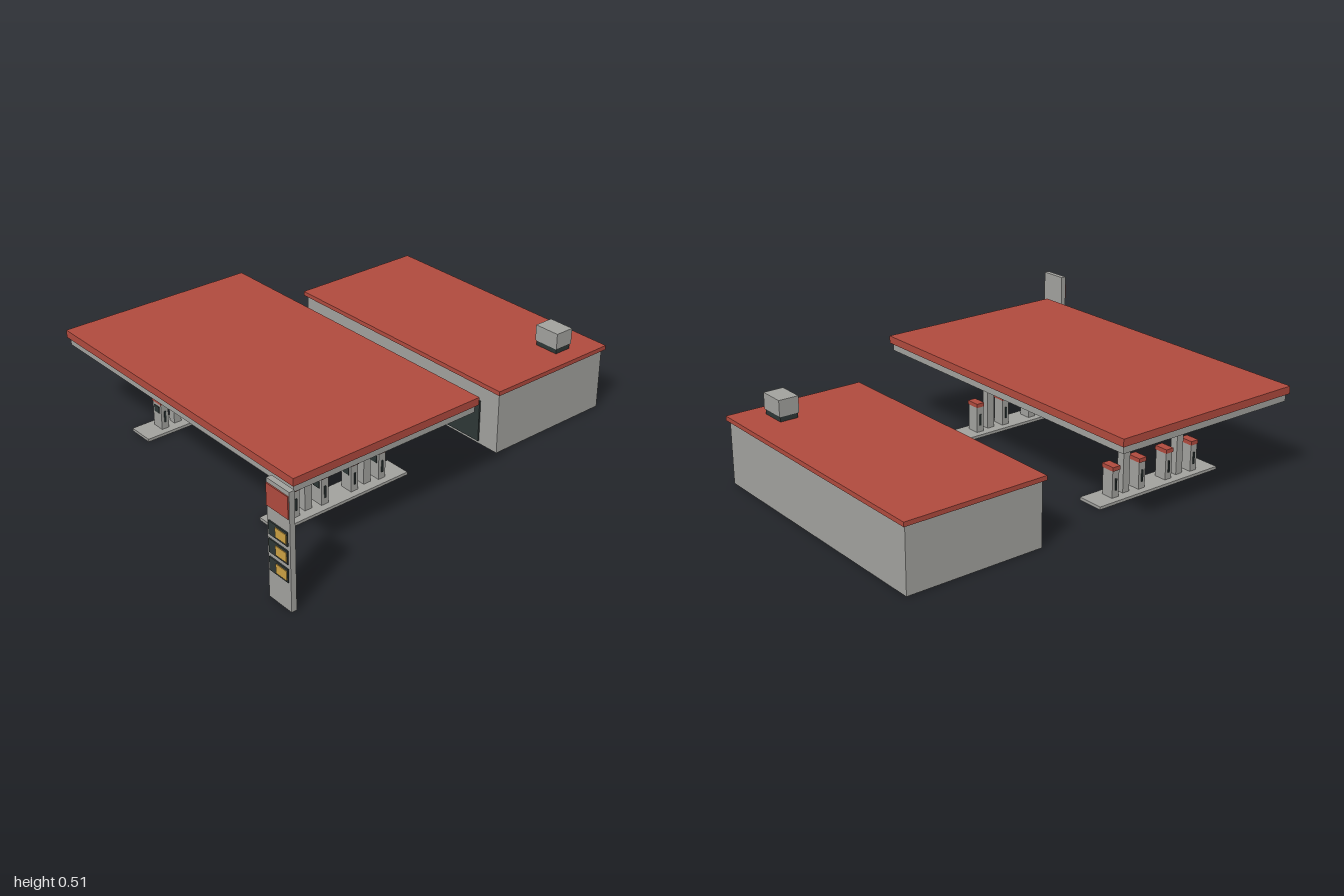
import * as THREE from 'three';

const mat = (name, color) => {
  const m = new THREE.MeshStandardMaterial({ color });
  m.name = name;
  return m;
};

export function createModel() {
  const grey = mat('concrete grey', 0xa2a29e);
  const red = mat('roof red', 0xb04a3e);
  const dark = mat('dark glass', 0x2e3736);
  const amber = mat('price amber', 0xcda243);

  const station = new THREE.Group();
  station.name = 'fuelStation';

  const group = (name, x = 0, y = 0, z = 0) => {
    const g = new THREE.Group();
    g.name = name;
    g.position.set(x, y, z);
    station.add(g);
    return g;
  };
  // Box given by its extents on each axis
  const box = (parent, name, m, [x0, x1], [y0, y1], [z0, z1]) => {
    const mesh = new THREE.Mesh(new THREE.BoxGeometry(x1 - x0, y1 - y0, z1 - z0), m);
    mesh.position.set((x0 + x1) / 2, (y0 + y1) / 2, (z0 + z1) / 2);
    mesh.name = name;
    parent.add(mesh);
  };

  // Shop building with wide front window and roof slab
  const shop = group('shop');
  box(shop, 'shopWalls', grey, [-0.718, 0.55], [0, 0.285], [-0.988, -0.355]);
  box(shop, 'shopRoof', red, [-0.73, 0.563], [0.285, 0.305], [-1, -0.342]);
  box(shop, 'shopWindow', dark, [-0.61, 0.445], [0.014, 0.208], [-0.356, -0.348]);

  // Rooftop air unit
  box(shop, 'airUnitBase', dark, [0.362, 0.478], [0.305, 0.328], [-0.857, -0.773]);
  box(shop, 'airUnit', grey, [0.358, 0.482], [0.328, 0.402], [-0.862, -0.769]);

  // Canopy slab, fascia and ceiling lamps
  const canopy = group('canopy', -0.083, 0, 0.384);
  box(canopy, 'canopyTop', red, [-0.783, 0.783], [0.396, 0.43], [-0.466, 0.466]);
  box(canopy, 'canopySoffit', grey, [-0.771, 0.771], [0.362, 0.396], [-0.455, 0.455]);
  for (let i = -2; i <= 2; i++) {
    for (const z of [0.238, -0.204]) {
      const x = i * 0.295;
      box(canopy, 'ceilingLamp', grey, [x - 0.077, x + 0.077], [0.357, 0.362], [z - 0.029, z + 0.029]);
    }
  }

  // Pump islands, each with two columns and four pumps
  for (const x of [-0.539, 0.373]) {
    const island = group('pumpIsland', x, 0, 0.384);
    box(island, 'islandBase', grey, [-0.062, 0.062], [0, 0.013], [-0.335, 0.335]);
    for (const z of [-0.153, 0.153]) {
      box(island, 'canopyColumn', grey, [-0.018, 0.018], [0.013, 0.362], [z - 0.018, z + 0.018]);
    }
    for (const z of [-0.223, -0.076, 0.078, 0.225]) {
      box(island, 'pumpBody', grey, [-0.03, 0.03], [0.013, 0.134], [z - 0.018, z + 0.018]);
      box(island, 'pumpCap', red, [-0.034, 0.034], [0.134, 0.152], [z - 0.02, z + 0.02]);
      box(island, 'pumpScreen', dark, [-0.018, 0.018], [0.088, 0.12], [z + 0.017, z + 0.021]);
      for (const s of [-1, 1]) {
        box(island, 'pumpNozzle', dark, [s * 0.0315 - 0.003, s * 0.0315 + 0.003], [0.045, 0.098], [z - 0.004, z + 0.004]);
      }
    }
  }

  // Roadside price sign
  const sign = group('priceSign');
  box(sign, 'signPost', grey, [0.73, 0.86], [0, 0.508], [0.968, 0.992]);
  box(sign, 'signHeader', red, [0.733, 0.857], [0.397, 0.49], [0.991, 0.997]);
  for (const y of [0.154, 0.232, 0.309]) {
    box(sign, 'pricePanel', dark, [0.741, 0.849], [y - 0.029, y + 0.029], [0.991, 0.997]);
    box(sign, 'priceDisplay', amber, [0.783, 0.845], [y - 0.02, y + 0.02], [0.996, 1]);
  }

  return station;
}
